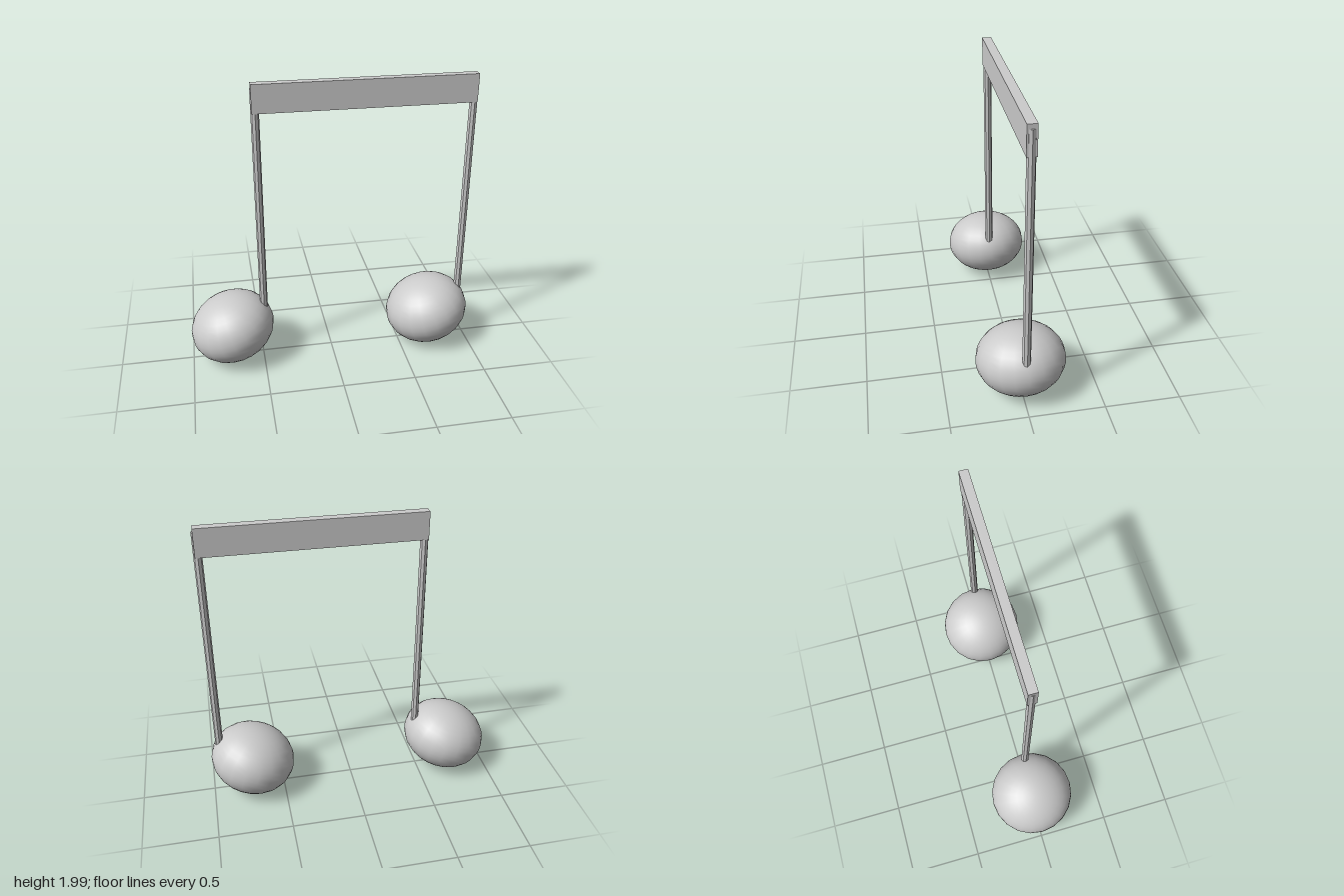
import * as THREE from 'three';

export function createModel() {
  const group = new THREE.Group();
  const smooth = new THREE.MeshStandardMaterial({ color: 0xcccccc });
  const faceted = new THREE.MeshStandardMaterial({ color: 0xcccccc, flatShading: true });

  const add = (name, geometry, material, x, y, z) => {
    const mesh = new THREE.Mesh(geometry, material);
    mesh.name = name;
    mesh.position.set(x, y, z);
    group.add(mesh);
    return mesh;
  };

  // Two tilted oval heads, each with a thin stem
  const headGeometry = new THREE.SphereGeometry(0.295, 20, 20);
  const stemBottom = 0.28, stemTop = 1.96;
  const stemGeometry = new THREE.CylinderGeometry(0.027, 0.027, stemTop - stemBottom, 8);
  for (const [side, x] of [['right', -0.709], ['left', 0.709]]) {
    const head = add(side + 'NoteHead', headGeometry, smooth, x, 0.245, 0);
    head.scale.y = 0.8;
    head.rotation.z = 0.3;
    add(side + 'Stem', stemGeometry, faceted, x + 0.226, (stemBottom + stemTop) / 2, 0.01);
  }

  // Flat beam joining the stem tops
  add('beam', new THREE.BoxGeometry(1.457, 0.187, 0.06), faceted, 0.224, 1.896, 0.01);

  return group;
}
